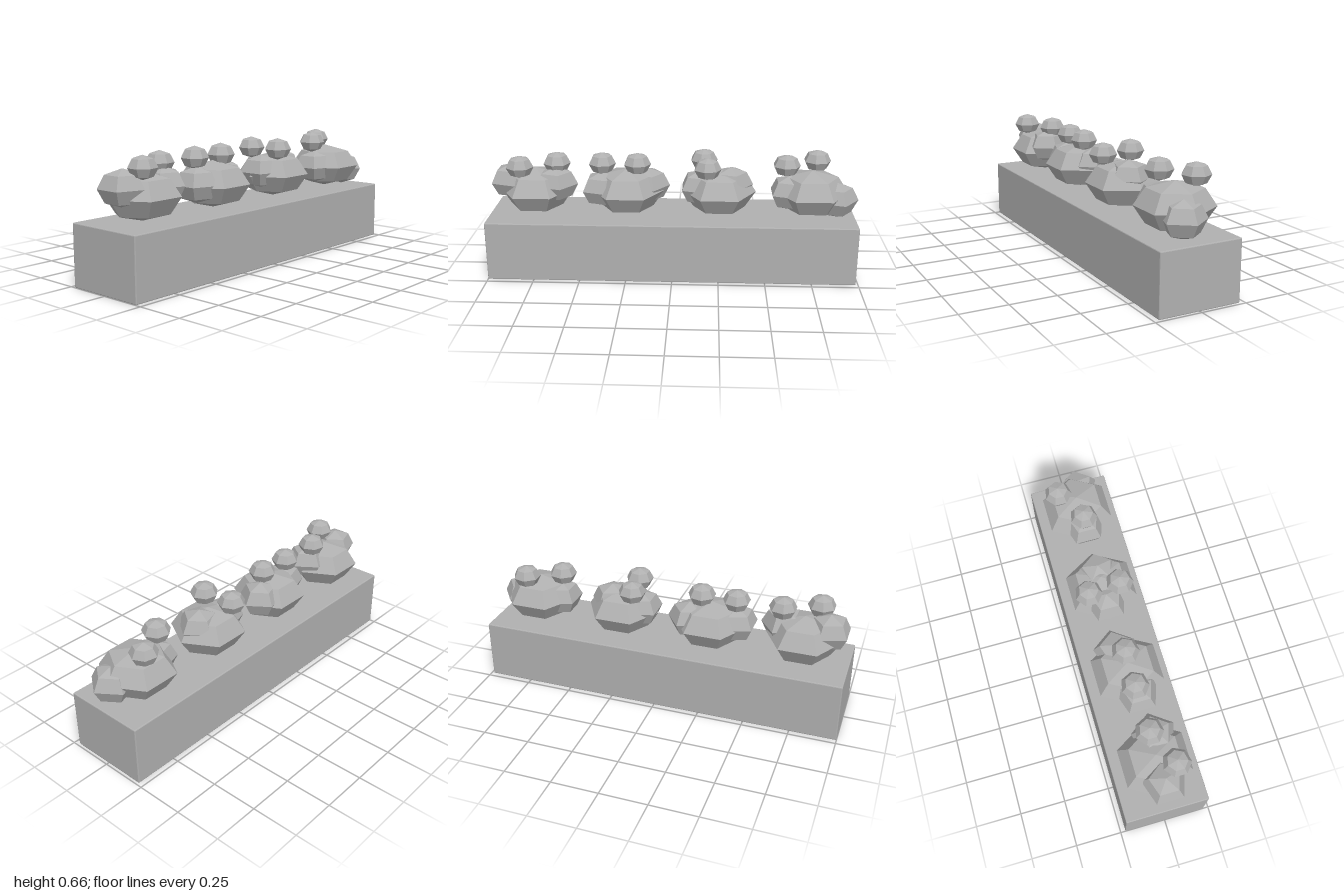
import * as THREE from 'three';
import { RoundedBoxGeometry } from 'three/addons/geometries/RoundedBoxGeometry.js';

export function createModel() {
  const model = new THREE.Group();
  model.name = 'flowerPlanter';
  const grey = new THREE.MeshStandardMaterial({ color: 0xb0b0b0, flatShading: true });
  grey.name = 'plain grey';

  // Faceted ball, squashed in height, with one corner pointing to +x
  const ball = (radius, height, sides) =>
    new THREE.SphereGeometry(radius, sides, 4).rotateY(Math.PI).scale(1, height / radius, 1);
  const bushGeometry = ball(0.2, 0.124, 6);
  const leafGeometry = ball(0.12, 0.096, 5);
  const flowerGeometry = ball(0.075, 0.06, 7);

  const add = (parent, name, geometry, x, y, z) => {
    const mesh = new THREE.Mesh(geometry, grey);
    mesh.name = name;
    mesh.position.set(x, y, z);
    parent.add(mesh);
  };

  // Long box with a fine bevel
  add(model, 'planterBox', new RoundedBoxGeometry(1.987, 0.324, 0.446, 1, 0.005), -0.0065, 0.162, 0);

  // Each bush: a main clump, two leaf clumps and two flower heads
  const bushes = [
    { x: -0.75, leaves: [[-0.88, 0.5, 0.01], [-0.636, 0.49, 0.03]], flowers: [[-0.819, 0.085], [-0.632, 0]] },
    { x: -0.25, leaves: [[-0.387, 0.46, 0.015], [-0.139, 0.47, -0.03]], flowers: [[-0.386, 0], [-0.195, 0.005]] },
    { x: 0.25, leaves: [[0.147, 0.47, 0], [0.313, 0.49, 0]], flowers: [[0.165, -0.09], [0.185, 0.085]] },
    { x: 0.75, leaves: [[0.632, 0.45, 0.01], [0.88, 0.421, 0.037]], flowers: [[0.61, 0.005], [0.784, -0.093]] },
  ];
  for (const { x, leaves, flowers } of bushes) {
    const bush = new THREE.Group();
    bush.name = 'bush';
    add(bush, 'mainClump', bushGeometry, x, 0.449, 0);
    for (const [lx, ly, lz] of leaves) add(bush, 'leafClump', leafGeometry, lx, ly, lz);
    for (const [fx, fz] of flowers) add(bush, 'flowerHead', flowerGeometry, fx, 0.6, fz);
    model.add(bush);
  }
  return model;
}
